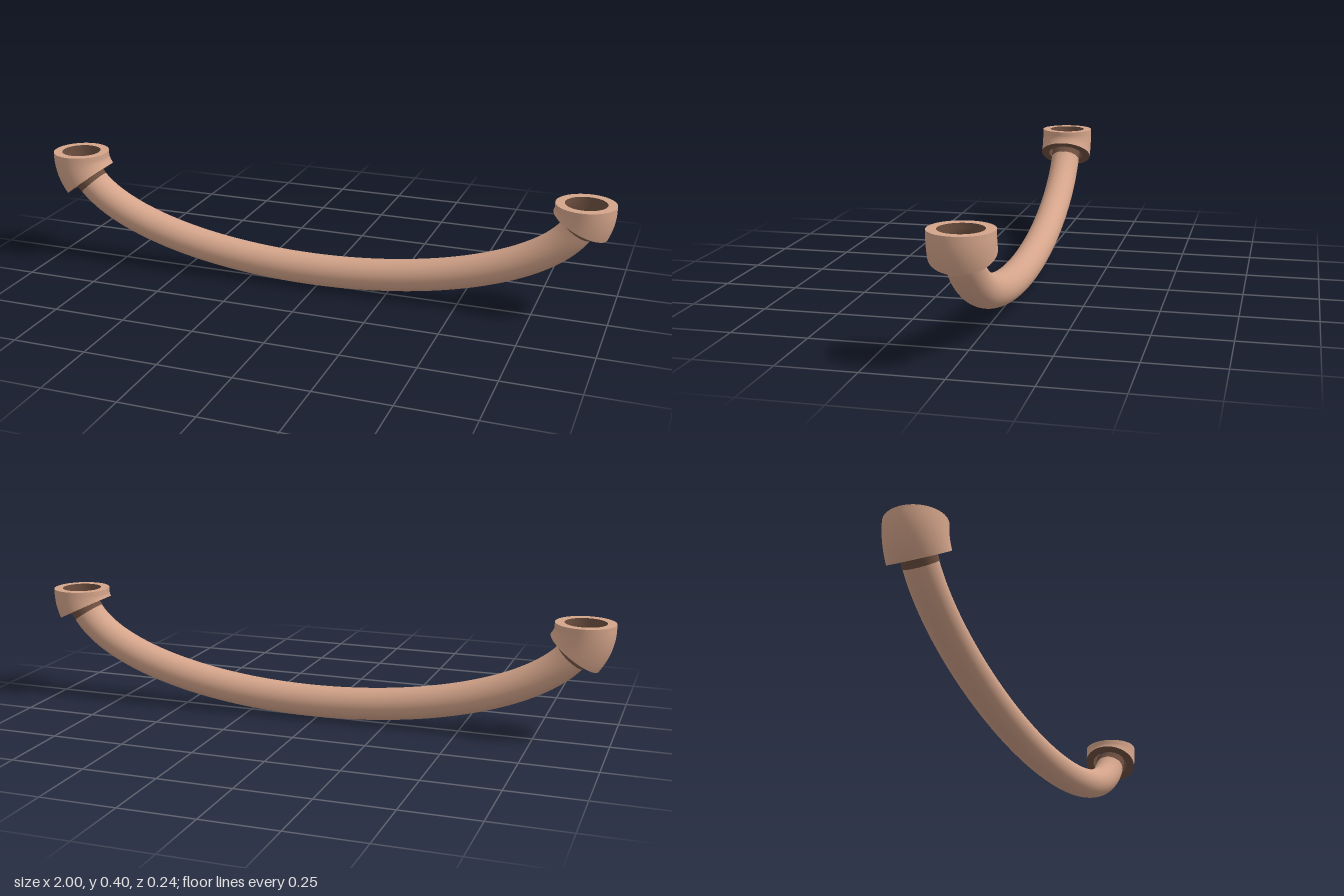
import * as THREE from 'three';

const A = 0.9, B = 0.33, Y0 = 0.385, TOP = 0.4, SIDES = 48;

// Station on the half-ellipse centreline: centre and in-plane outward normal
function station(angle) {
  const n = new THREE.Vector2(B * Math.cos(angle), -A * Math.sin(angle)).normalize();
  return { x: A * Math.cos(angle), y: Y0 - B * Math.sin(angle), nx: n.x, ny: n.y };
}

function arc(from, to, steps) {
  return Array.from({ length: steps + 1 }, (_, i) => station(from + (to - from) * i / steps));
}

// Hollow sweep with sharp rims; material groups: outer wall, end ring, inner wall, start ring
function hollowSweep(stations, outer, inner) {
  const positions = [], index = [];
  const geometry = new THREE.BufferGeometry();
  const strip = (rows, group) => {
    const base = positions.length / 3, start = index.length;
    rows.forEach(([s, r]) => {
      for (let j = 0; j < SIDES; j++) {
        const a = j / SIDES * Math.PI * 2, c = r * Math.cos(a);
        positions.push(s.x + s.nx * c, s.y + s.ny * c, r * Math.sin(a));
      }
    });
    for (let i = 0; i < rows.length - 1; i++) {
      for (let j = 0; j < SIDES; j++) {
        const k = (j + 1) % SIDES;
        const a = base + i * SIDES + j, b = base + i * SIDES + k;
        index.push(a, b, a + SIDES, b, b + SIDES, a + SIDES);
      }
    }
    geometry.addGroup(start, index.length - start, group);
  };
  const first = stations[0], last = stations[stations.length - 1];
  strip(stations.map(s => [s, outer]), 0);
  strip([[last, outer], [last, inner]], 1);
  strip([...stations].reverse().map(s => [s, inner]), 2);
  strip([[first, inner], [first, outer]], 3);
  geometry.setAttribute('position', new THREE.Float32BufferAttribute(positions, 3));
  geometry.setIndex(index);
  geometry.computeVertexNormals();
  return geometry;
}

export function createModel() {
  const group = new THREE.Group();
  group.name = 'curvedHandle';
  const copper = new THREE.MeshStandardMaterial({ color: 0xd4a48a });
  copper.name = 'copper';
  const darkBrown = new THREE.MeshStandardMaterial({ color: 0x6e5040 });
  darkBrown.name = 'dark brown';

  const add = (name, stations, outer, inner, materials) => {
    const mesh = new THREE.Mesh(hollowSweep(stations, outer, inner), materials);
    mesh.name = name;
    group.add(mesh);
  };

  // Long bowed pipe with a dark section at each end, inside the collars
  const leftJoin = 0.23, rightJoin = Math.PI - 0.31;
  const plain = [copper, copper, copper, copper];
  const darkOutside = [darkBrown, darkBrown, copper, darkBrown];
  add('pipe', arc(leftJoin, rightJoin, 96), 0.055, 0.046, plain);
  add('leftPipeEnd', arc(0.12, leftJoin, 8), 0.056, 0.046, darkOutside);
  add('rightPipeEnd', arc(rightJoin, Math.PI - 0.12, 12), 0.056, 0.046, darkOutside);

  // Collars: short straight mouth, then following the bend; dark inside and below
  add('leftCollar', [{ ...station(0), y: TOP }, ...arc(0, 0.17, 10)], 0.098, 0.068,
    [copper, darkBrown, darkBrown, copper]);
  add('rightCollar', [...arc(Math.PI - 0.26, Math.PI, 14), { ...station(Math.PI), y: TOP }], 0.098, 0.068,
    [copper, copper, darkBrown, darkBrown]);

  // The whole handle is turned slightly about the vertical
  group.rotation.y = 0.0245;
  return group;
}
